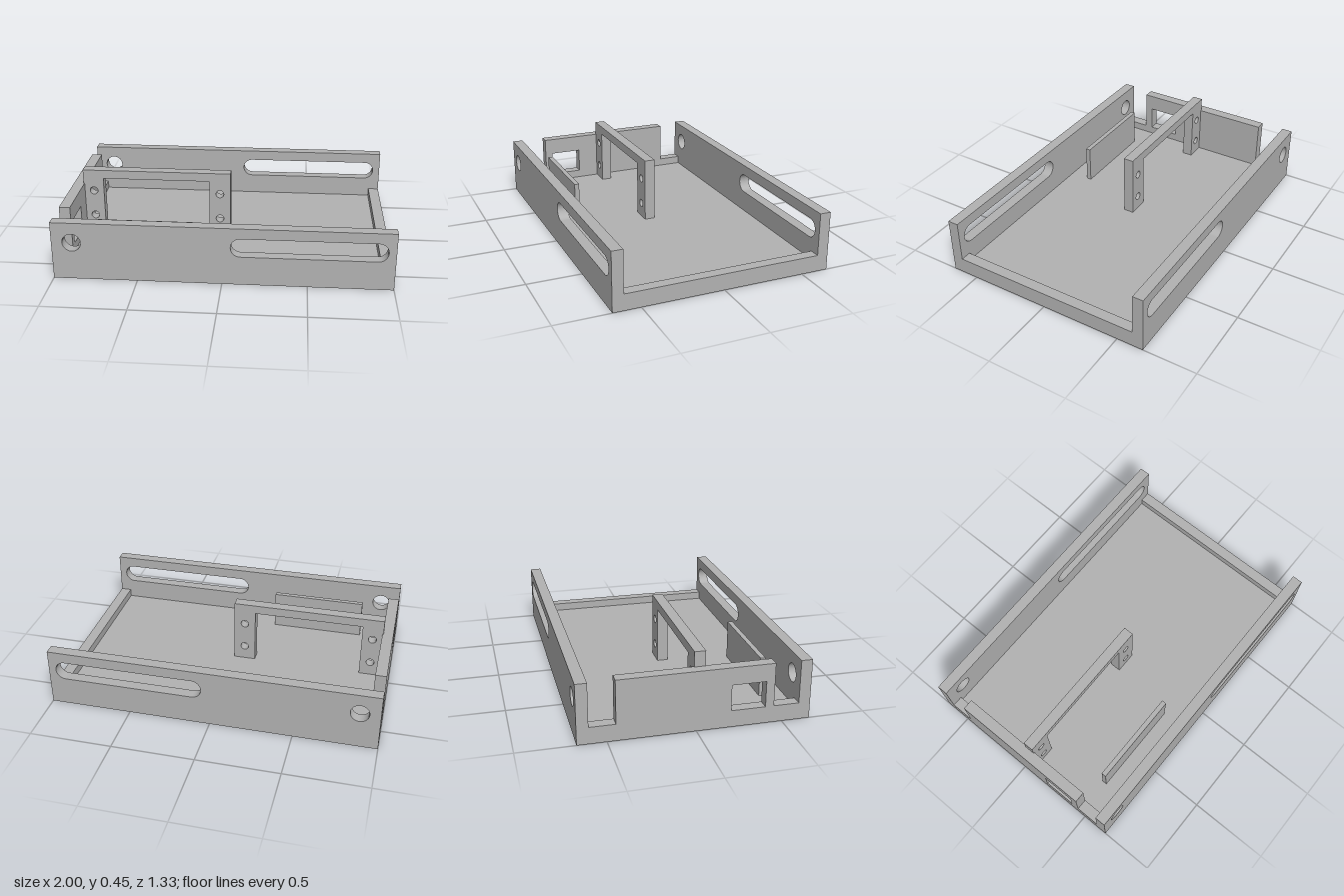
import * as THREE from 'three';

const WALL = 0.067, LENGTH = 2, DEPTH = 1.333, HEIGHT = 0.36;
const FLOOR = 0.05, LIP = 0.1;
const INNER = DEPTH / 2 - WALL; // half width between the side walls

const polygon = (pts) => new THREE.Shape(pts.map(([x, y]) => new THREE.Vector2(x, y)));
const rect = (x0, x1, y0, y1) => [[x0, y0], [x1, y0], [x1, y1], [x0, y1]];

function roundHole(x, y, r) {
  const hole = new THREE.Path();
  hole.absarc(x, y, r, 0, Math.PI * 2, true);
  return hole;
}

// Horizontal slot with semicircular ends
function slotHole(x0, x1, y0, y1) {
  const r = (y1 - y0) / 2, cy = (y0 + y1) / 2;
  const hole = new THREE.Path();
  hole.absarc(x0 + r, cy, r, Math.PI / 2, Math.PI * 1.5, false);
  hole.absarc(x1 - r, cy, r, -Math.PI / 2, Math.PI / 2, false);
  hole.closePath();
  return hole;
}

export function createModel() {
  const group = new THREE.Group();
  group.name = 'mountingTray';
  const grey = new THREE.MeshStandardMaterial({ color: 0xb2b2b2 });
  grey.name = 'grey';

  function plate(name, shape, depth, z = 0) {
    const geo = new THREE.ExtrudeGeometry(shape, { depth, bevelEnabled: false, curveSegments: 24 });
    const mesh = new THREE.Mesh(geo, grey);
    mesh.name = name;
    mesh.position.z = z;
    group.add(mesh);
    return mesh;
  }

  function box(name, x0, x1, y0, y1, z0, z1) {
    const mesh = new THREE.Mesh(new THREE.BoxGeometry(x1 - x0, y1 - y0, z1 - z0), grey);
    mesh.name = name;
    mesh.position.set((x0 + x1) / 2, (y0 + y1) / 2, (z0 + z1) / 2);
    group.add(mesh);
  }

  // Floor and the low lip along the open end
  box('floor', -1 + WALL, 1 - WALL, 0, FLOOR, -INNER, INNER);
  box('endLip', 1 - WALL, 1, 0, LIP, -INNER, INNER);

  // Long side walls, each with a cable hole and a ventilation slot
  const side = polygon(rect(-LENGTH / 2, LENGTH / 2, 0, HEIGHT));
  side.holes.push(roundHole(-0.88, 0.235, 0.055), slotHole(0.05, 0.955, 0.18, 0.295));
  plate('frontWall', side, WALL, INNER);
  plate('backWall', side, WALL, -DEPTH / 2);

  // End panel with open notches at both corners and a rectangular window
  const end = polygon([
    [-INNER, 0], [INNER, 0], [INNER, LIP], [0.45, LIP],
    [0.45, HEIGHT], [-0.45, HEIGHT], [-0.45, LIP], [-INNER, LIP],
  ]);
  end.holes.push(new THREE.Path(polygon(rect(0.2, 0.4, LIP, 0.255)).getPoints().reverse()));
  const endPanel = plate('endPanel', end, WALL);
  endPanel.rotation.y = -Math.PI / 2;
  endPanel.position.x = -1 + WALL;

  // Bridge bracket: two drilled legs joined by a thin top bar
  const bracket = polygon([
    [-0.94, FLOOR], [-0.81, FLOOR], [-0.81, 0.395], [-0.13, 0.395],
    [-0.13, FLOOR], [0.005, FLOOR], [0.005, 0.45], [-0.94, 0.45],
  ]);
  for (const x of [-0.875, -0.0625])
    for (const y of [0.14, 0.31]) bracket.holes.push(roundHole(x, y, 0.025));
  plate('bracket', bracket, 0.065, 0);

  // Thin upright retaining plate near the front wall
  box('retainingPlate', -0.765, -0.175, FLOOR, 0.29, 0.45, 0.48);

  return group;
}
